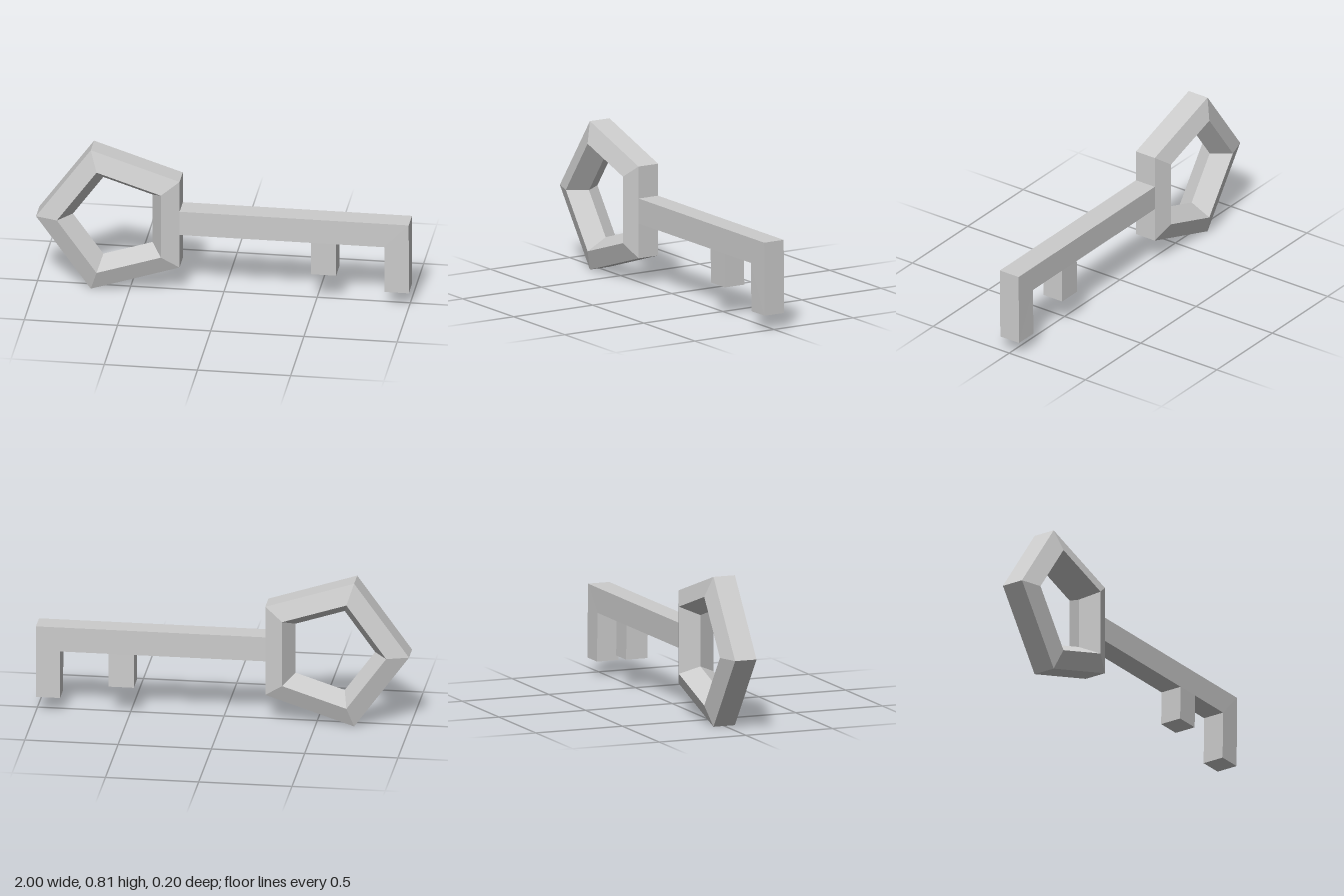
import * as THREE from 'three';

const material = new THREE.MeshStandardMaterial({ color: 0xcccccc, flatShading: true });

// Five-sided ring with a five-sided cross-section, one corner pointing to -x
function createBow() {
  const ringRadius = 0.341, tubeRadius = 0.105;
  const section = [];
  for (let i = 0; i <= 5; i++) {
    const a = ((i - 0.5) / 5) * Math.PI * 2; // flat side faces outward
    section.push(new THREE.Vector2(ringRadius + tubeRadius * Math.cos(a), tubeRadius * Math.sin(a)));
  }
  const geometry = new THREE.LatheGeometry(section, 5, -Math.PI / 2);
  geometry.rotateX(Math.PI / 2);
  const bow = new THREE.Mesh(geometry, material);
  bow.name = 'bow';
  bow.position.set(-0.574, 0.405, 0);
  return bow;
}

// Shaft and both teeth as one outline
function createBlade() {
  const half = 0.0615;
  const outline = new THREE.Shape([
    [-0.23, 0.345], [0.475, 0.345], [0.475, 0.16], [0.61, 0.16], [0.61, 0.345],
    [0.87, 0.345], [0.87, 0.082], [1, 0.082], [1, 0.481], [-0.23, 0.481],
  ].map(([x, y]) => new THREE.Vector2(x, y)));
  const geometry = new THREE.ExtrudeGeometry(outline, { depth: half * 2, bevelEnabled: false });
  geometry.translate(0, 0, -half);
  // The tooth tips lean very slightly backward
  const p = geometry.attributes.position;
  for (let i = 0; i < p.count; i++) if (p.getY(i) < 0.3) p.setZ(i, p.getZ(i) - 0.003);
  geometry.computeVertexNormals();
  const blade = new THREE.Mesh(geometry, material);
  blade.name = 'shaftAndTeeth';
  return blade;
}

export function createModel() {
  const key = new THREE.Group();
  key.name = 'key';
  key.add(createBow(), createBlade());
  return key;
}
